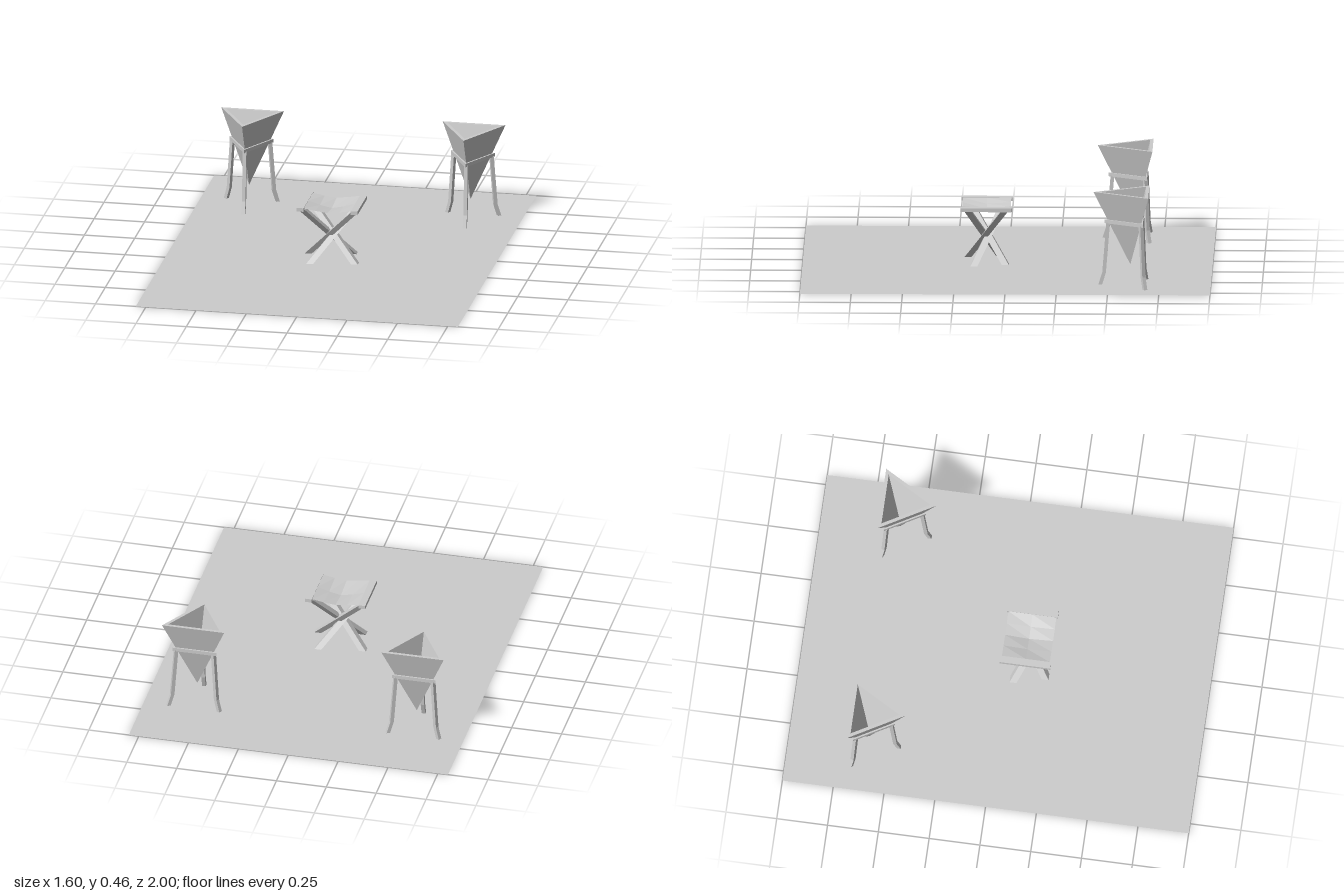
import * as THREE from 'three';

const grey = new THREE.MeshStandardMaterial({ color: 0xcccccc, side: THREE.DoubleSide });
grey.name = 'plain grey';

// Faceted mesh with hard edges
function part(name, geometry, parent) {
  const flat = geometry.index ? geometry.toNonIndexed() : geometry;
  flat.computeVertexNormals();
  const mesh = new THREE.Mesh(flat, grey);
  mesh.name = name;
  parent.add(mesh);
  return mesh;
}

// Bar with level ends that follows a list of [x, y, z] centres
function bar(centres, width, depth) {
  const n = centres.length - 1;
  const geo = new THREE.BoxGeometry(width, 1, depth, 1, n, 1);
  const pos = geo.attributes.position;
  for (let i = 0; i < pos.count; i++) {
    const [x, y, z] = centres[Math.round((pos.getY(i) + 0.5) * n)];
    pos.setXYZ(i, pos.getX(i) + x, y, pos.getZ(i) + z);
  }
  return geo;
}

// Three-sided turned shape with one corner towards +z
function triangular(profile) {
  return new THREE.LatheGeometry(profile.map(([r, y]) => new THREE.Vector2(r, y)), 3);
}

function createBrazier() {
  const brazier = new THREE.Group();
  brazier.name = 'brazier';
  // Hollow pointed bowl
  part('bowl', triangular([[0, 0.1], [0.18, 0.46], [0.148, 0.46], [0, 0.165]]), brazier);
  // Supporting frame
  part('frame', triangular([[0.1, 0.305], [0.127, 0.305], [0.127, 0.323], [0.1, 0.323], [0.1, 0.305]]), brazier);
  // Splayed legs under the corners
  for (let i = 0; i < 3; i++) {
    const leg = part('brazierLeg', bar([[0, 0, 0.147], [0, 0.06, 0.128], [0, 0.31, 0.108]], 0.018, 0.018), brazier);
    leg.rotation.y = (i * Math.PI * 2) / 3;
  }
  return brazier;
}

function createStool() {
  const stool = new THREE.Group();
  stool.name = 'foldingStool';
  // Crossed legs, in two point-mirrored pairs
  for (const s of [-1, 1]) {
    part('stoolLeg', bar([[s * 0.09, 0, s * -0.093], [s * -0.13, 0.275, s * 0.09]], 0.034, 0.034), stool);
    part('stoolLeg', bar([[s * 0.126, 0, s * 0.06], [s * -0.13, 0.275, s * -0.09]], 0.034, 0.034), stool);
    // Side rail
    const rail = part('rail', new THREE.BoxGeometry(0.034, 0.018, 0.25), stool);
    rail.position.set(s * 0.134, 0.281, 0);
  }
  // Sagging cloth, deepest in the middle
  const cloth = new THREE.PlaneGeometry(0.234, 0.236, 4, 2).rotateX(-Math.PI / 2);
  const pos = cloth.attributes.position;
  for (let i = 0; i < pos.count; i++) {
    const u = Math.abs(pos.getX(i)) / 0.117;
    const v = Math.abs(pos.getZ(i)) / 0.118;
    pos.setY(i, 0.288 - (0.017 + 0.014 * (1 - v)) * (1 - Math.pow(u, 1.3)));
  }
  part('seatCloth', cloth, stool);
  return stool;
}

export function createModel() {
  const model = new THREE.Group();
  model.name = 'stoolAndBraziers';

  part('floor', new THREE.PlaneGeometry(1.6, 2).rotateX(-Math.PI / 2), model);

  const stool = createStool();
  stool.position.z = 0.104;
  model.add(stool);

  for (const side of [-1, 1]) {
    const brazier = createBrazier();
    brazier.position.set(side * 0.55, 0, -0.607);
    model.add(brazier);
  }
  return model;
}
